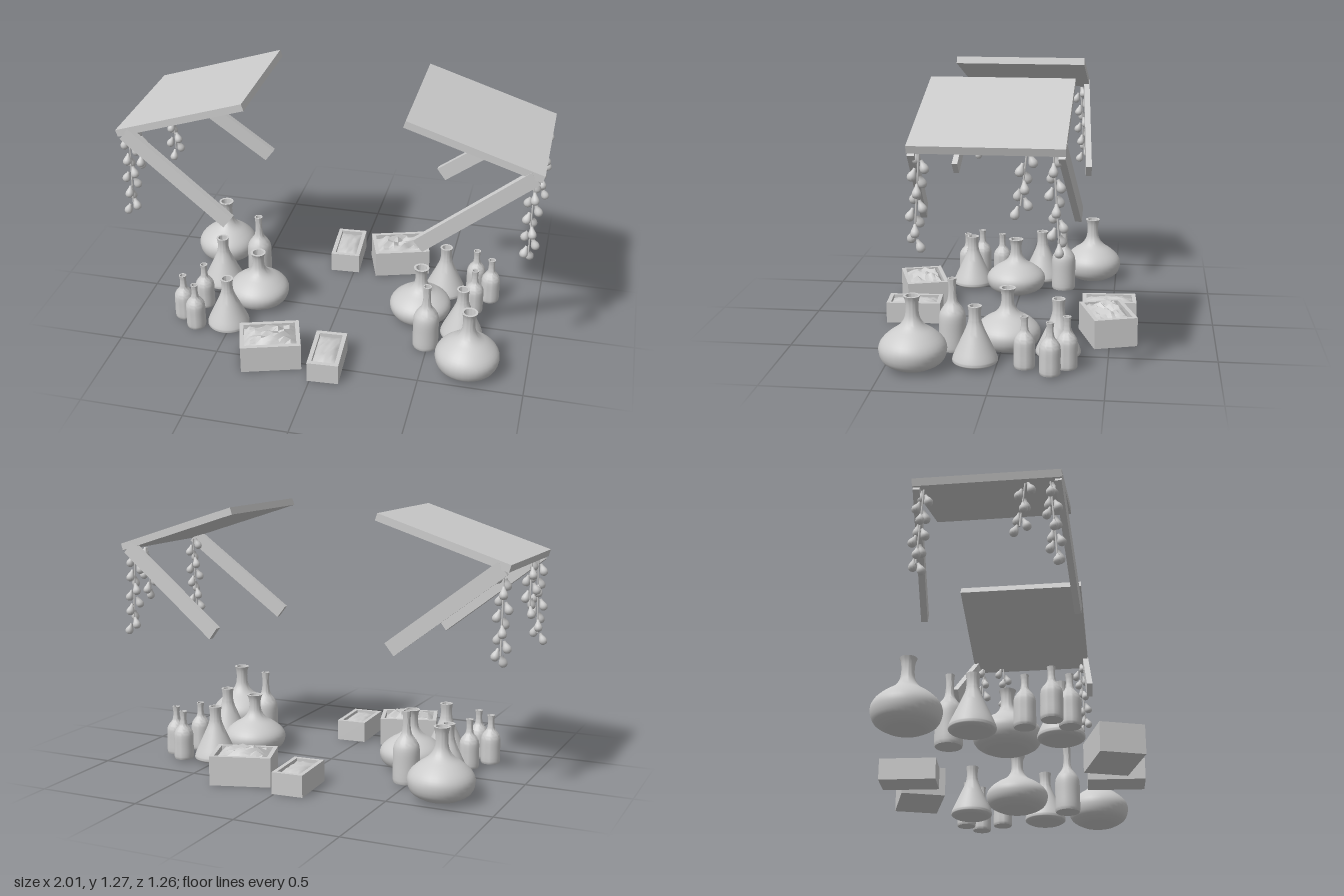
import * as THREE from 'three';
import { toCreasedNormals } from 'three/addons/utils/BufferGeometryUtils.js';

const grey = new THREE.MeshStandardMaterial({ color: 0xcccccc });
const thin = new THREE.MeshStandardMaterial({ color: 0xcccccc, side: THREE.DoubleSide });

function add(parent, name, geometry, x = 0, y = 0, z = 0, material = grey) {
  const mesh = new THREE.Mesh(geometry, material);
  mesh.name = name;
  mesh.position.set(x, y, z);
  parent.add(mesh);
  return mesh;
}

// Turned vessel: smooth outer profile, flat base and a hollow mouth
function vessel(profile) {
  const outer = new THREE.SplineCurve(profile.map(([r, y]) => new THREE.Vector2(r, y))).getPoints(28);
  const lip = outer[outer.length - 1];
  const inner = [[0.7, 0], [0.6, 0.05], [0, 0.05]].map(([k, d]) => new THREE.Vector2(lip.x * k, lip.y - d));
  return toCreasedNormals(new THREE.LatheGeometry([new THREE.Vector2(0, 0.01), ...outer, ...inner], 32), 0.75);
}

const roundFlask = vessel([[0.09, 0.01], [0.138, 0.04], [0.155, 0.09], [0.143, 0.13], [0.105, 0.168],
  [0.06, 0.2], [0.036, 0.235], [0.029, 0.275], [0.031, 0.315], [0.039, 0.34]]);
const coneFlask = vessel([[0.085, 0.01], [0.104, 0.022], [0.1, 0.045], [0.08, 0.09], [0.055, 0.145],
  [0.036, 0.19], [0.029, 0.22], [0.028, 0.25], [0.032, 0.28]]);
const tallBottle = vessel([[0.055, 0.01], [0.063, 0.022], [0.063, 0.1], [0.062, 0.175], [0.048, 0.21],
  [0.027, 0.24], [0.019, 0.275], [0.018, 0.32], [0.021, 0.355]]);
const smallBottle = vessel([[0.041, 0.01], [0.048, 0.018], [0.048, 0.08], [0.047, 0.135], [0.036, 0.16],
  [0.021, 0.18], [0.016, 0.205], [0.016, 0.23], [0.019, 0.25]]);

// Teardrop bulb, pointed end at the origin
const bulb = new THREE.LatheGeometry(
  new THREE.SplineCurve([[0, -0.06], [0.014, -0.055], [0.02, -0.041], [0.016, -0.026], [0.009, -0.012], [0.007, 0]]
    .map(([r, y]) => new THREE.Vector2(r, y))).getPoints(10), 12);

function hangingString(z0, z1, count) {
  const group = new THREE.Group();
  group.name = 'hangingString';
  const length = count * 0.031;
  for (let i = 0; i < count; i++) {
    const t = i / (count - 1);
    const a = i * 2.5 + z0 * 9;
    const b = add(group, 'bulb', bulb, 0.955 + Math.cos(a) * 0.012, 1.04 - t * length,
      z0 + (z1 - z0) * t + Math.sin(a) * 0.012);
    b.rotation.set(-Math.sin(a) * 0.4, 0, Math.cos(a) * 0.4);
  }
  add(group, 'cord', new THREE.CylinderGeometry(0.004, 0.004, length, 6), 0.955, 1.04 - length / 2, (z0 + z1) / 2)
    .rotation.x = Math.atan2(z0 - z1, length);
  return group;
}

// Open crate with a bumpy heap inside
function crate(w, h, d, heapY, bump, flat) {
  const group = new THREE.Group();
  group.name = 'crate';
  const t = 0.02;
  add(group, 'crateBase', new THREE.BoxGeometry(w, t, d), 0, t / 2, 0);
  for (const s of [-1, 1]) {
    add(group, 'crateLongWall', new THREE.BoxGeometry(w, h, t), 0, h / 2, s * (d - t) / 2);
    add(group, 'crateEndWall', new THREE.BoxGeometry(t, h, d - 2 * t), s * (w - t) / 2, h / 2, 0);
  }
  let heap = new THREE.PlaneGeometry(w - 2 * t, d - 2 * t, 9, 9).rotateX(-Math.PI / 2);
  const p = heap.attributes.position;
  for (let i = 0; i < p.count; i++) {
    const x = p.getX(i), z = p.getZ(i);
    const inside = Math.min(1, 6 * (0.5 - Math.abs(x) / (w - 2 * t)), 6 * (0.5 - Math.abs(z) / (d - 2 * t)));
    const n = Math.sin(i * 127.1) * 43758.5;
    p.setY(i, bump * inside * (0.3 + 0.7 * (n - Math.floor(n))));
  }
  heap.computeVertexNormals();
  if (flat) heap = toCreasedNormals(heap, 0.6);
  add(group, 'crateContents', heap, 0, heapY, 0, thin);
  return group;
}

function createStall() {
  const stall = new THREE.Group();
  stall.name = 'stall';

  // Sloping awning and its two splayed braces
  add(stall, 'awning', new THREE.BoxGeometry(0.655, 0.035, 0.655), 0.683, 1.155, 0).rotation.z = -0.31;
  for (const s of [-1, 1]) {
    const top = new THREE.Vector3(0.96, 1.055, s * 0.312);
    const foot = new THREE.Vector3(0.455, 0.665, s * 0.355);
    const brace = add(stall, 'awningBrace', new THREE.BoxGeometry(0.03, 0.072, top.distanceTo(foot)));
    brace.position.copy(top).lerp(foot, 0.5);
    brace.lookAt(foot);
  }

  // Strings of bulbs under the low edge
  stall.add(hangingString(0.28, 0.305, 12), hangingString(-0.165, -0.14, 7), hangingString(-0.275, -0.3, 12));

  // Bottles and flasks
  add(stall, 'roundFlask', roundFlask, 0.715, 0, 0.37);
  add(stall, 'wideFlask', roundFlask, 0.42, 0, -0.025).scale.y = 0.87;
  add(stall, 'tallBottle', tallBottle, 0.49, 0, 0.225);
  for (const [x, z] of [[0.65, 0.097], [0.51, -0.27]]) add(stall, 'coneFlask', coneFlask, x, 0, z);
  for (const [x, z] of [[0.68, -0.13], [0.75, -0.25], [0.665, -0.32]]) add(stall, 'smallBottle', smallBottle, x, 0, z);

  // Crates
  const big = crate(0.29, 0.14, 0.21, 0.115, 0.052, true);
  big.position.set(-0.229, 0, 0.487);
  big.rotation.y = 0.31;
  const small = crate(0.152, 0.104, 0.268, 0.085, 0.025, false);
  small.position.set(0.056, 0, 0.485);
  small.rotation.y = 0.06;
  stall.add(big, small);
  return stall;
}

export function createModel() {
  const model = new THREE.Group();
  model.name = 'marketStalls';
  // Two identical stalls, half a turn apart
  for (const turn of [0, Math.PI]) {
    const stall = createStall();
    stall.rotation.y = turn;
    model.add(stall);
  }
  return model;
}
